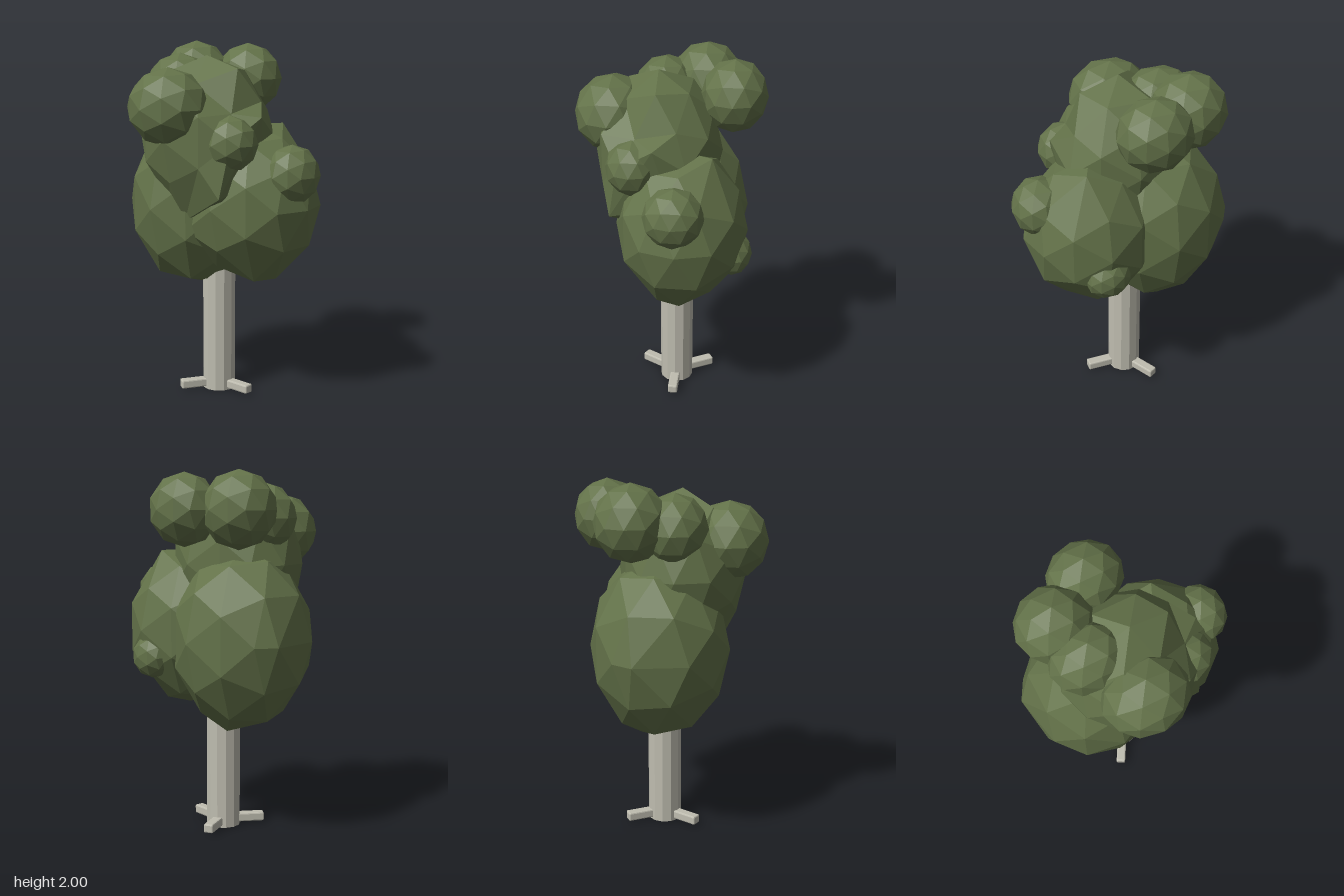
import * as THREE from 'three';
import { RoundedBoxGeometry } from 'three/addons/geometries/RoundedBoxGeometry.js';

// Moves the corner of the geometry nearest to the target onto it
function pullCorner(geometry, target) {
  const position = geometry.attributes.position;
  const goal = new THREE.Vector3(...target);
  const point = new THREE.Vector3();
  const nearest = new THREE.Vector3(Infinity, 0, 0);
  for (let i = 0; i < position.count; i++) {
    point.fromBufferAttribute(position, i);
    if (point.distanceTo(goal) < nearest.distanceTo(goal)) nearest.copy(point);
  }
  for (let i = 0; i < position.count; i++) {
    point.fromBufferAttribute(position, i);
    if (point.distanceTo(nearest) < 1e-4) position.setXYZ(i, ...target);
  }
}

export function createModel() {
  const tree = new THREE.Group();
  tree.name = 'tree';

  const leafGreen = new THREE.MeshStandardMaterial({ color: 0x637249, flatShading: true });
  leafGreen.name = 'leafGreen';
  const paleBark = new THREE.MeshStandardMaterial({ color: 0xbfbdb0, flatShading: true });
  paleBark.name = 'paleBark';

  // Trunk with three short roots spread evenly around it
  const base = new THREE.Group();
  base.name = 'trunkBase';
  base.position.set(-0.037, 0, -0.047);
  tree.add(base);

  const trunk = new THREE.Mesh(new THREE.CylinderGeometry(0.095, 0.095, 0.85, 12), paleBark);
  trunk.name = 'trunk';
  trunk.position.y = 0.425;
  base.add(trunk);

  for (let i = 0; i < 3; i++) {
    const geometry = new RoundedBoxGeometry(0.18, 0.05, 0.055, 1, 0.008);
    geometry.translate(0.143, 0.035, 0);
    const root = new THREE.Mesh(geometry, paleBark);
    root.name = 'root' + (i + 1);
    root.rotation.y = (i * Math.PI * 2) / 3;
    base.add(root);
  }

  // Foliage: faceted balls as [name, centre, radii, corners pulled out of round]
  const clumps = [
    ['largeClumpRight', [-0.208, 1.09, -0.05], [0.4, 0.505, 0.385], [
      [-0.61, 1.09, -0.14], [-0.2, 0.585, -0.15], [-0.555, 0.87, 0.055],
    ]],
    ['largeClumpLeft', [0.18, 1.125, -0.095], [0.38, 0.44, 0.36], [
      [0.2, 0.685, -0.1], [0.34, 0.71, -0.1], [0.29, 0.71, 0.03], [0.2, 0.73, -0.26],
      [-0.04, 0.98, 0.23], [0.25, 1.56, -0.26],
    ]],
    ['crownClump', [-0.035, 1.495, 0.055], [0.395, 0.44, 0.35], [
      [0.35, 1.62, 0.045], [0.18, 1.87, 0.045], [0.25, 1.69, -0.07], [0.23, 1.64, 0.15],
      [0.04, 1.79, 0.23], [0.265, 1.2, 0.29], [-0.03, 1.04, 0.24], [-0.22, 1.81, 0.05],
    ]],
    ['frontPuff', [-0.08, 1.665, 0.312], [0.237, 0.215, 0.213], []],
    ['topPuff', [-0.335, 1.79, -0.18], [0.21, 0.21, 0.2], []],
    ['backPuff', [-0.085, 1.79, -0.348], [0.206, 0.198, 0.182], []],
    ['sidePuff', [-0.255, 1.745, 0.04], [0.215, 0.195, 0.18], []],
    ['frontLeftPuff', [0.228, 1.482, 0.163], [0.16, 0.153, 0.147], []],
    ['leftPuff', [0.46, 1.31, -0.08], [0.15, 0.165, 0.165], []],
    ['lowBackPuff', [0.18, 0.98, -0.375], [0.13, 0.125, 0.107], []],
  ];
  for (const [name, centre, radii, corners] of clumps) {
    const geometry = new THREE.IcosahedronGeometry(1, 1);
    geometry.scale(...radii);
    geometry.translate(...centre);
    corners.forEach((corner) => pullCorner(geometry, corner));
    geometry.computeVertexNormals();
    const clump = new THREE.Mesh(geometry, leafGreen);
    clump.name = name;
    tree.add(clump);
  }

  return tree;
}
